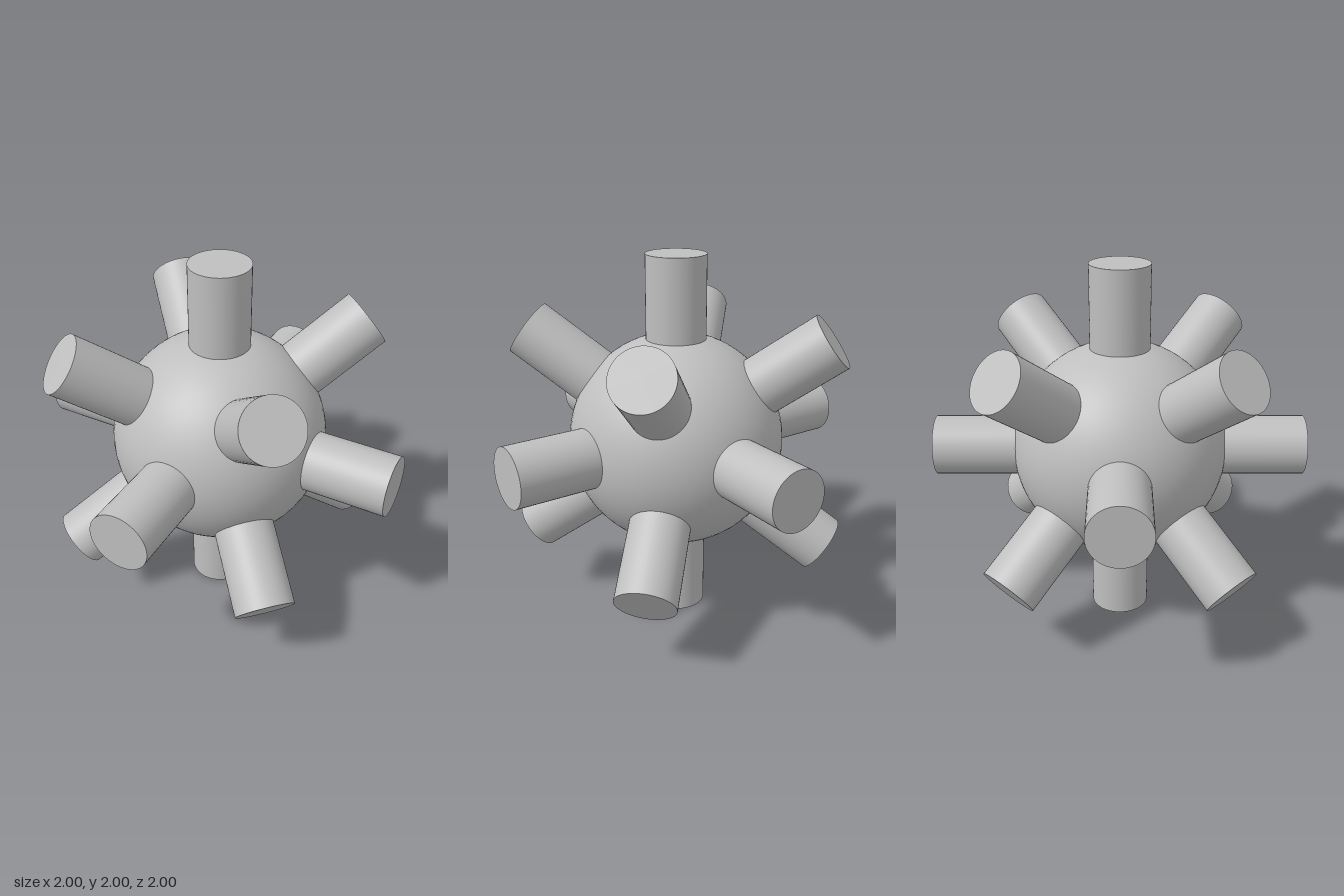
import * as THREE from 'three';

const SPHERE_R = 0.58, ROD_R = 0.16, REACH = 1, ROOT = 0.5;

export function createModel() {
  const model = new THREE.Group();
  model.name = 'spikedBall';
  const grey = new THREE.MeshStandardMaterial({ color: 0xbfbfbf });
  grey.name = 'plain grey';

  // Central ball
  const ball = new THREE.Mesh(new THREE.SphereGeometry(SPHERE_R, 64, 40), grey);
  ball.name = 'ball';
  ball.position.y = 1;
  model.add(ball);

  // Rod directions: six along the axes, eight through the cube corners
  const directions = [];
  for (const s of [1, -1]) {
    directions.push([s, 0, 0], [0, s, 0], [0, 0, s]);
    for (const t of [1, -1]) for (const u of [1, -1]) directions.push([s, t, u]);
  }

  // Each rod starts inside the ball and ends in a flat cap
  const rodGeometry = new THREE.CylinderGeometry(ROD_R, ROD_R, REACH - ROOT, 48);
  rodGeometry.translate(0, (REACH + ROOT) / 2, 0);
  const up = new THREE.Vector3(0, 1, 0);
  for (const d of directions) {
    const rod = new THREE.Mesh(rodGeometry, grey);
    rod.name = d.includes(0) ? 'axisRod' : 'diagonalRod';
    rod.quaternion.setFromUnitVectors(up, new THREE.Vector3(...d).normalize());
    rod.position.y = 1;
    model.add(rod);
  }
  return model;
}
